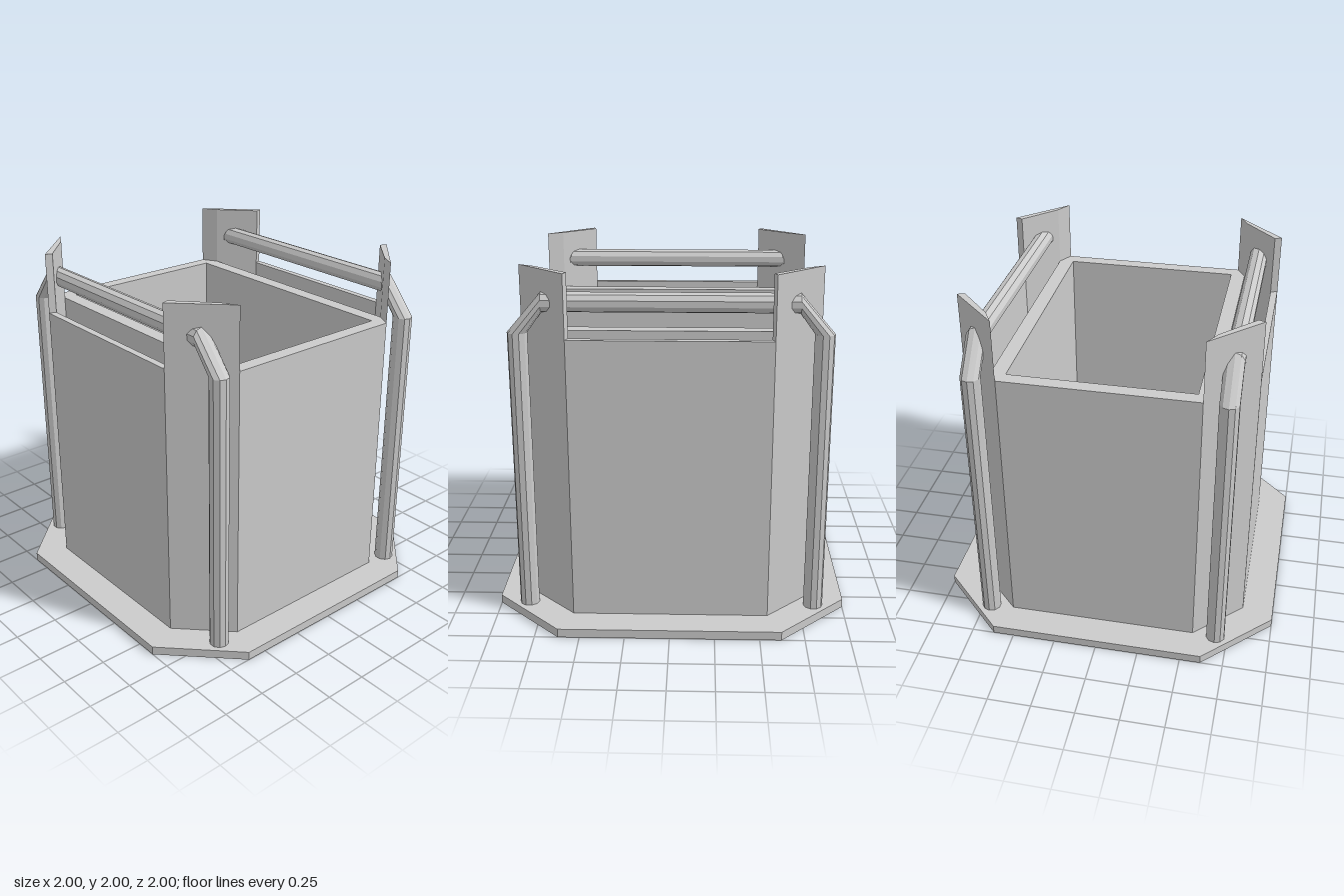
import * as THREE from 'three';

const material = new THREE.MeshStandardMaterial({ color: 0xcccccc, flatShading: true });

// Upright prism from a plan outline of [x, z] points, between heights y0 and y1.
// A hole runs the opposite way round to its outline.
function prism(name, outline, y0, y1, hole) {
  const toPoints = (list) => list.map(([x, z]) => new THREE.Vector2(x, -z));
  const shape = new THREE.Shape(toPoints(outline));
  if (hole) shape.holes.push(new THREE.Path(toPoints(hole)));
  const geometry = new THREE.ExtrudeGeometry(shape, { depth: y1 - y0, bevelEnabled: false });
  geometry.rotateX(-Math.PI / 2).translate(0, y0, 0);
  const mesh = new THREE.Mesh(geometry, material);
  mesh.name = name;
  return mesh;
}

// Ten-sided handrail: post, slanted elbow, bar, elbow, post.
function handrail(x) {
  const r = 0.055, sides = 10;
  // Ring centre y, z and the direction pointing to the outside of the bend.
  const rings = [
    [0.02, 0.82, 0, 1], [1.66, 0.82, 0, 1], [1.825, 0.685, 1, 0],
    [1.825, -0.685, 1, 0], [1.66, -0.82, 0, -1], [0.02, -0.82, 0, -1],
  ];
  const positions = [], index = [];
  rings.forEach(([y, z, uy, uz], i) => {
    for (let j = 0; j < sides; j++) {
      const a = (j / sides) * Math.PI * 2;
      const c = r * Math.cos(a);
      positions.push(x - r * Math.sin(a), y + uy * c, z + uz * c);
      if (i === 0) continue;
      const k = (j + 1) % sides, p = (i - 1) * sides, q = i * sides;
      index.push(p + j, q + j, p + k, p + k, q + j, q + k);
    }
  });
  const geometry = new THREE.BufferGeometry();
  geometry.setAttribute('position', new THREE.Float32BufferAttribute(positions, 3));
  geometry.setIndex(index);
  geometry.computeVertexNormals();
  const mesh = new THREE.Mesh(geometry, material);
  mesh.name = x > 0 ? 'leftHandrail' : 'rightHandrail';
  return mesh;
}

export function createModel() {
  const group = new THREE.Group();
  const wallTop = 1.65, floor = 0.05;

  // Octagonal base
  group.add(prism('base', [
    [1, 0.62], [0.62, 1], [-0.62, 1], [-1, 0.62],
    [-1, -0.62], [-0.62, -1], [0.62, -1], [1, -0.62],
  ], 0, floor));

  // Open inner box
  group.add(prism('innerBox', [
    [0.6, 0.74], [0.55, 0.82], [-0.55, 0.82], [-0.6, 0.74],
    [-0.6, -0.74], [-0.55, -0.82], [0.55, -0.82], [0.6, -0.74],
  ], floor, wallTop, [[0.515, -0.74], [-0.515, -0.74], [-0.515, 0.74], [0.515, 0.74]]));

  for (const sx of [1, -1]) {
    const side = sx > 0 ? 'left' : 'right';
    // Thin outer side panel, leaving a gap to the inner box
    group.add(prism(side + 'Panel', [
      [sx * 0.82, 0.55], [sx * 0.78, 0.535], [sx * 0.78, -0.535], [sx * 0.82, -0.55],
    ], floor, wallTop));
    // Tall slanted corner boards
    for (const sz of [1, -1]) {
      group.add(prism(side + (sz > 0 ? 'Front' : 'Back') + 'CornerBoard', [
        [sx * 0.82, sz * 0.55], [sx * 0.55, sz * 0.82],
        [sx * 0.6, sz * 0.73], [sx * 0.78, sz * 0.535],
      ], floor, 2));
    }
    group.add(handrail(sx * 0.685));
  }
  return group;
}
